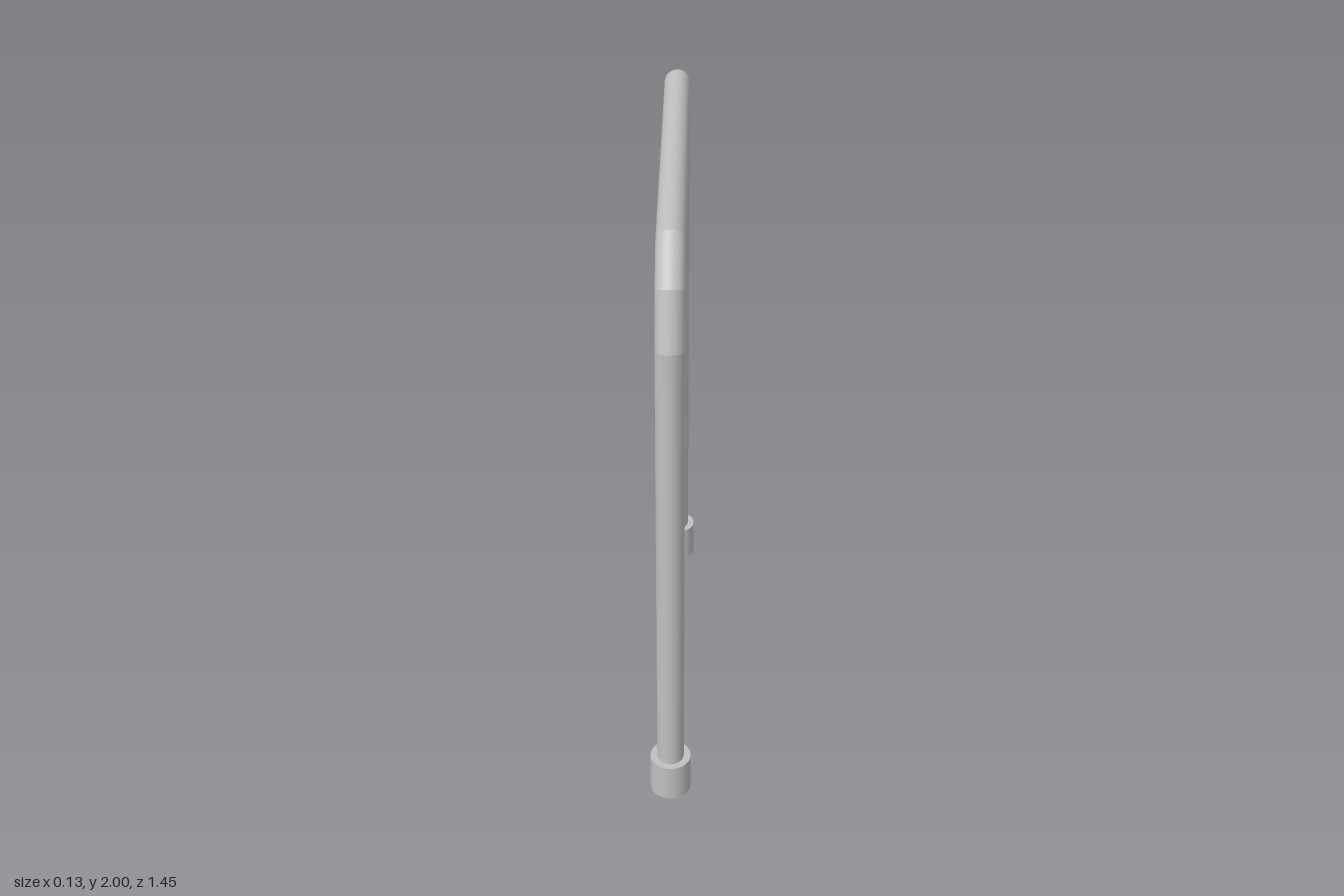
import * as THREE from 'three';

const TUBE_R = 0.044;
const POST_Z = 0.656;
const BAR_Y = 1.956;
const SIDES = 32;

export function createModel() {
  const model = new THREE.Group();
  model.name = 'guardRail';
  const metal = new THREE.MeshStandardMaterial({ color: 0xc0c0c0 });
  metal.name = 'grey metal';

  const add = (name, geometry, y = 0, z = 0) => {
    const mesh = new THREE.Mesh(geometry, metal);
    mesh.name = name;
    mesh.position.set(0, y, z);
    model.add(mesh);
  };

  // Bent rail: front post, two-step bend and top bar, with mitred joints
  const path = [[0.02, POST_Z], [1.69, POST_Z], [1.853, 0.608], [BAR_Y, 0.505], [BAR_Y, -0.705]];
  const names = ['frontPost', 'lowerBend', 'upperBend', 'topBar'];
  const angles = names.map((_, i) =>
    Math.atan2(path[i + 1][1] - path[i][1], path[i + 1][0] - path[i][0]));
  const mitre = (i, j) =>
    angles[i] === undefined || angles[j] === undefined ? 0 : Math.tan((angles[j] - angles[i]) / 2);

  names.forEach((name, i) => {
    const [y0, z0] = path[i];
    const [y1, z1] = path[i + 1];
    const geometry = new THREE.CylinderGeometry(TUBE_R, TUBE_R, Math.hypot(y1 - y0, z1 - z0), SIDES);
    const start = mitre(i - 1, i);
    const end = mitre(i, i + 1);
    const p = geometry.attributes.position;
    // Slant each end so neighbouring lengths meet on one plane
    for (let v = 0; v < p.count; v++) {
      const y = p.getY(v);
      p.setY(v, y + p.getZ(v) * (y > 0 ? -end : start));
    }
    geometry.rotateX(angles[i]);
    add(name, geometry, (y0 + y1) / 2, (z0 + z1) / 2);
  });

  // Straight rear post running up into the top bar
  const rearHeight = BAR_Y - 0.02;
  add('rearPost', new THREE.CylinderGeometry(TUBE_R, TUBE_R, rearHeight, SIDES), 0.02 + rearHeight / 2, -POST_Z);

  // Wider foot sleeves
  for (const [name, side] of [['frontFoot', 1], ['rearFoot', -1]]) {
    add(name, new THREE.CylinderGeometry(0.067, 0.067, 0.135, SIDES), 0.0675, side * POST_Z);
  }

  // Infill panel between the posts
  add('panel', new THREE.BoxGeometry(0.04, 1.256, 1.236), 1.045, 0);

  return model;
}
